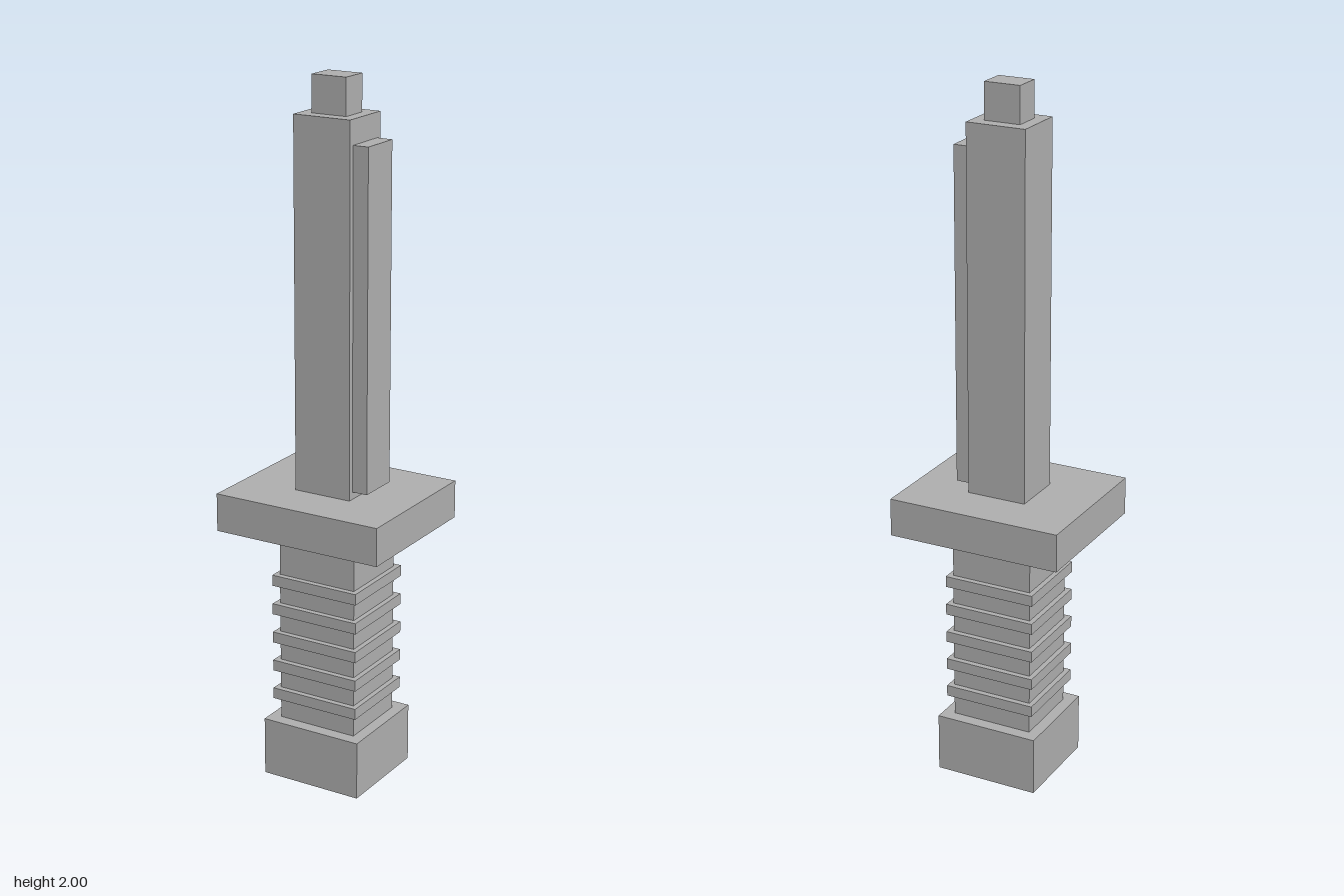
import * as THREE from 'three';

export function createModel() {
  const model = new THREE.Group();
  const grey = new THREE.MeshStandardMaterial({ color: 0xb0b0b0 });
  grey.name = 'plain grey';

  // Block given by its width, depth, bottom and top
  function block(name, width, depth, bottom, top, x = 0) {
    const mesh = new THREE.Mesh(new THREE.BoxGeometry(width, top - bottom, depth), grey);
    mesh.name = name;
    mesh.position.set(x, (bottom + top) / 2, 0);
    model.add(mesh);
  }

  // Handle
  block('pommel', 0.306, 0.29, 0, 0.17);
  block('grip', 0.24, 0.217, 0.17, 0.747);
  for (let i = 0; i < 5; i++) {
    const y = 0.247 + i * 0.0863;
    block('gripRing' + (i + 1), 0.27, 0.25, y - 0.016, y + 0.016);
  }

  // Guard
  block('guard', 0.509, 0.434, 0.747, 0.856);

  // Blade, with its cutting edge on the left side and a stepped tip
  block('blade', 0.173, 0.155, 0.856, 1.898);
  block('cuttingEdge', 0.046, 0.123, 0.877, 1.83, 0.109);
  block('bladeTip', 0.105, 0.081, 1.898, 2);

  return model;
}
